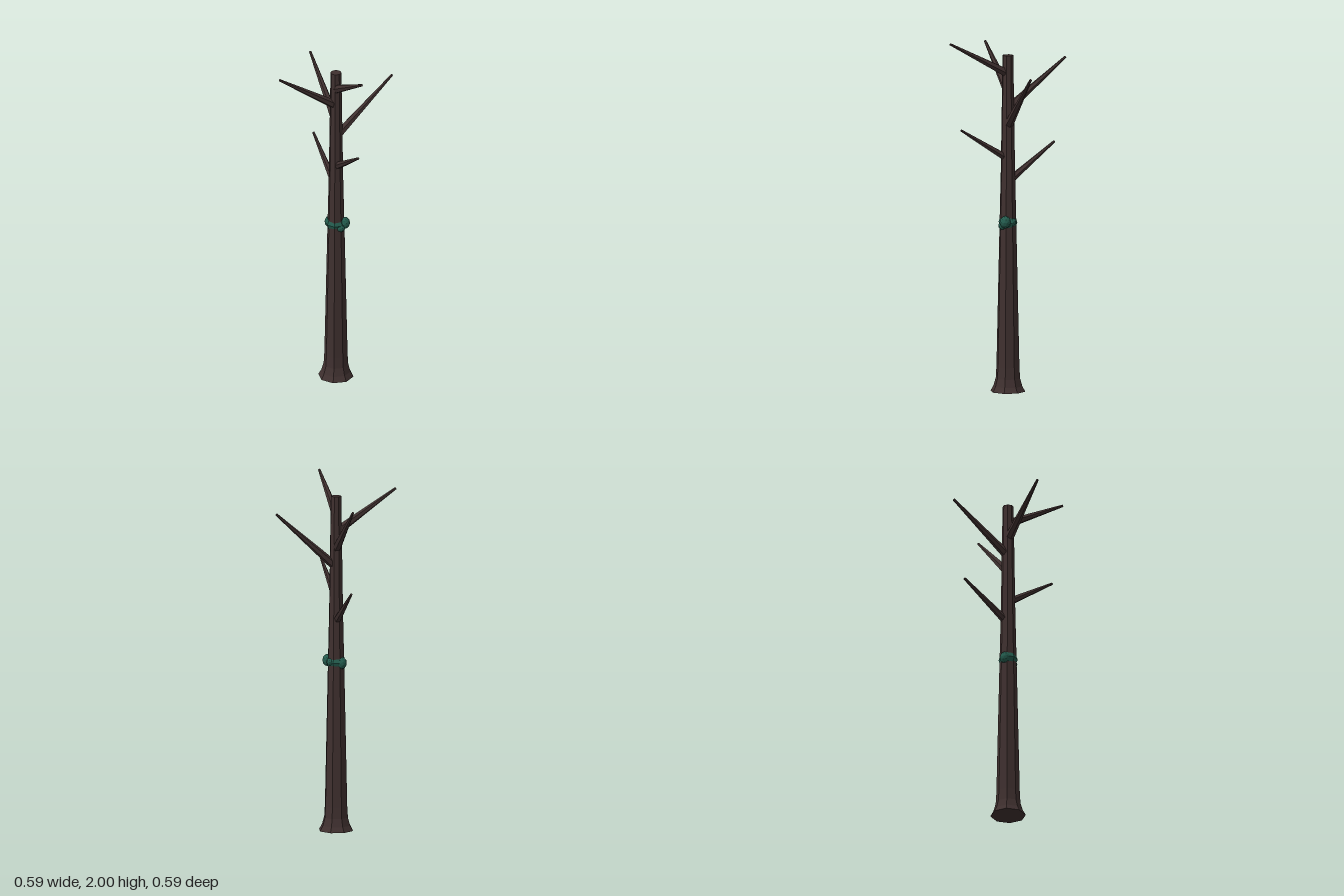
import * as THREE from 'three';

export function createModel() {
  const tree = new THREE.Group();
  tree.name = 'bareTree';

  const bark = new THREE.MeshStandardMaterial({ color: 0x3f302f, flatShading: true });
  bark.name = 'dark bark';
  const green = new THREE.MeshStandardMaterial({ color: 0x245c4e, flatShading: true });
  green.name = 'deep green';

  const add = (name, geometry, material) => {
    const mesh = new THREE.Mesh(geometry, material);
    mesh.name = name;
    tree.add(mesh);
    return mesh;
  };

  // Eight-sided trunk with a flared foot
  const profile = [
    [0, 0], [0.1, 0], [0.083, 0.03], [0.07, 0.075], [0.066, 0.14],
    [0.048, 0.96], [0.041, 1.25], [0.031, 1.91], [0, 1.91],
  ].map(([r, y]) => new THREE.Vector2(r, y));
  add('trunk', new THREE.LatheGeometry(profile, 8), bark);

  // Tapered branches: height on the trunk axis, then tip position
  const branches = [
    [1.805, 0.195, 1.993, 0.288],
    [1.705, -0.288, 1.936, 0.195],
    [1.605, -0.195, 1.88, -0.288],
    [1.505, 0.288, 1.823, -0.195],
    [1.32, 0.165, 1.5, 0.232],
    [1.19, -0.167, 1.402, -0.23],
  ];
  const up = new THREE.Vector3(0, 1, 0);
  branches.forEach(([y0, x, y, z], i) => {
    const start = new THREE.Vector3(0, y0, 0);
    const span = new THREE.Vector3(x, y, z).sub(start);
    const baseRadius = i < 4 ? 0.026 : 0.023;
    const geometry = new THREE.CylinderGeometry(0.007, baseRadius, span.length(), 6);
    const branch = add('branch' + (i + 1), geometry, bark);
    branch.position.copy(start).addScaledVector(span, 0.5);
    branch.quaternion.setFromUnitVectors(up, span.normalize());
  });

  // Band tied around the trunk
  const band = add('band', new THREE.TorusGeometry(0.04, 0.02, 6, 8).rotateX(Math.PI / 2), green);
  band.position.y = 0.962;
  band.scale.set(1, 1.5, 0.9);

  // Faceted lumps on the band: position, radius, vertical scale
  const lumps = [
    [0.05, 0.968, 0.004, 0.031, 1.15],
    [0.03, 0.945, 0.022, 0.027, 0.9],
    [-0.038, 0.96, -0.014, 0.029, 1.2],
    [0.022, 0.965, -0.028, 0.024, 1],
  ];
  lumps.forEach(([x, y, z, r, sy], i) => {
    const lump = add('bandLump' + (i + 1), new THREE.IcosahedronGeometry(r, 1), green);
    lump.position.set(x, y, z);
    lump.scale.y = sy;
  });

  return tree;
}
